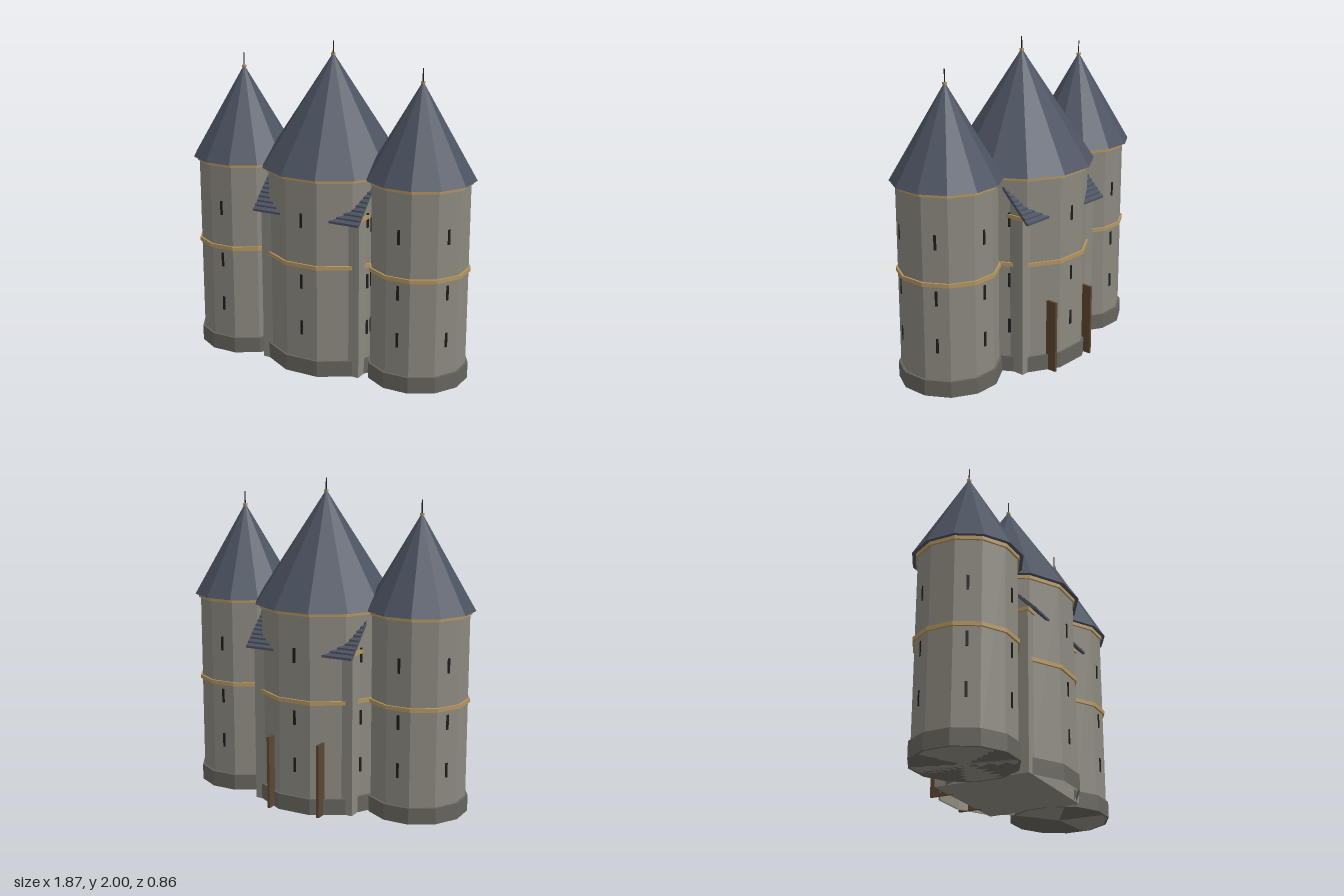
import * as THREE from 'three';

const mat = (color) => new THREE.MeshStandardMaterial({ color, flatShading: true, side: THREE.DoubleSide });
const STONE = mat(0x8b887e), PLINTH = mat(0x66645d), TRIM = mat(0xb3945f);
const SLATE = mat(0x4c5361), WOOD = mat(0x5c4632), DARK = mat(0x1d1c1a);
const SIDES = 12;
const toCorner = 1 / Math.cos(Math.PI / SIDES); // flat-to-flat radius -> corner radius

function add(parent, name, geometry, material, x = 0, y = 0, z = 0) {
  const mesh = new THREE.Mesh(geometry, material);
  mesh.name = name;
  mesh.position.set(x, y, z);
  parent.add(mesh);
  return mesh;
}

// Twelve-sided drum with flats facing the axes; a is the flat radius
function drum(aTop, aBottom, h, open = false) {
  return new THREE.CylinderGeometry(aTop * toCorner, aBottom * toCorner, h, SIDES, 1, open, Math.PI / SIDES);
}

function tower(name, { wall, plinth, eave, apex, tip, slitLevels, open }) {
  const g = new THREE.Group();
  g.name = name;
  add(g, 'wall', drum(wall, wall, 1.24, open), STONE, 0, 0.62);
  add(g, 'plinth', drum(plinth, plinth, 0.1, open), PLINTH, 0, 0.05);
  if (open) {
    // flat top of the plinth ring
    const ring = new THREE.RingGeometry(wall * toCorner, plinth * toCorner, SIDES, 1, Math.PI / SIDES);
    add(g, 'plinthTop', ring.rotateX(-Math.PI / 2), PLINTH, 0, 0.1);
  }
  for (const y of [0.7, 1.235]) add(g, 'stringCourse', drum(wall + 0.012, wall + 0.012, 0.024), TRIM, 0, y);

  // Pointed roof with finial
  const roofH = apex - 1.245;
  add(g, 'roof', drum(0.002, eave, roofH), SLATE, 0, 1.245 + roofH / 2);
  add(g, 'finialBase', new THREE.BoxGeometry(0.02, 0.014, 0.02), TRIM, 0, apex - 0.004);
  add(g, 'finial', new THREE.CylinderGeometry(0.003, 0.004, tip - apex, 6), DARK, 0, (tip + apex) / 2);

  // Arrow slits on every second face
  for (let i = 0; i < 6; i++) {
    const a = (i * Math.PI) / 3;
    for (const y of slitLevels) {
      const slit = add(g, 'arrowSlit', new THREE.BoxGeometry(0.016, 0.09, 0.02), DARK,
        Math.sin(a) * (wall - 0.006), y, Math.cos(a) * (wall - 0.006));
      slit.rotation.y = a;
    }
  }
  return g;
}

// Extrudes a (z, y) outline along x, centred
function alongX(points, width) {
  const shape = new THREE.Shape(points.map(([z, y]) => new THREE.Vector2(z, y)));
  const geo = new THREE.ExtrudeGeometry(shape, { depth: width, bevelEnabled: false });
  return geo.translate(0, 0, -width / 2).rotateY(-Math.PI / 2);
}

function gatehouse() {
  const g = new THREE.Group();
  g.name = 'gatehouse';
  // Gabled block between the towers
  add(g, 'block', alongX([[-0.3, 0], [0.3, 0], [0.3, 1.02], [0, 1.32], [-0.3, 1.02]], 0.68), STONE);
  // Cornice under the eaves
  add(g, 'cornice', new THREE.BoxGeometry(0.7, 0.024, 0.62), TRIM, 0, 1.003, 0);

  // Stepped slate slopes, mirrored front and back
  const rows = 16, top = [], run = 0.36 / rows;
  for (let i = 0; i < rows; i++) {
    const z = 0.36 - i * run, y = 0.98 + i * run;
    top.push([z, y], [z, y + 0.014], [z - run, y + run + 0.004]);
  }
  const profile = [...top, [0, 1.325], [0.345, 0.98]];
  for (const s of [1, -1]) {
    add(g, 'slateSlope', alongX(profile.map(([z, y]) => [z * s, y]), 0.724), SLATE);
  }
  return g;
}

export function createModel() {
  const model = new THREE.Group();
  model.name = 'towerGate';

  model.add(tower('centralTower', {
    wall: 0.395, plinth: 0.408, eave: 0.432, apex: 1.925, tip: 2.0, slitLevels: [0.3, 0.597, 0.98], open: true,
  }));
  model.add(gatehouse());

  for (const s of [1, -1]) {
    const side = tower(s > 0 ? 'leftTower' : 'rightTower', {
      wall: 0.288, plinth: 0.302, eave: 0.322, apex: 1.81, tip: 1.89, slitLevels: [0.32, 0.615, 0.955], open: false,
    });
    side.position.set(s * 0.613, 0, 0.045);
    model.add(side);
    // Gate leaf standing open at the back
    add(model, 'gateLeaf', new THREE.BoxGeometry(0.016, 0.455, 0.15), WOOD, s * 0.172, 0.2275, -0.35);
  }
  return model;
}
